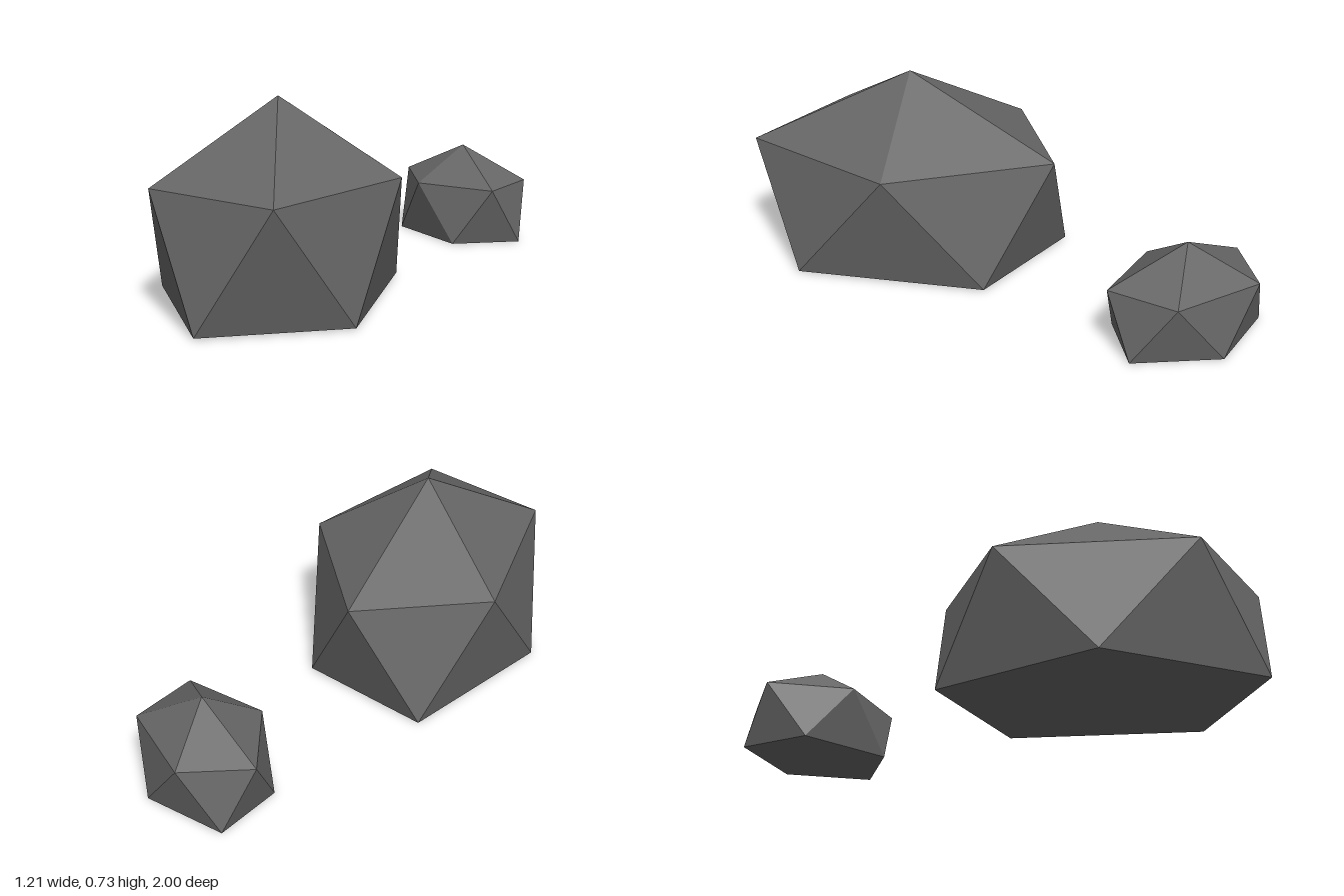
import * as THREE from 'three';

// Icosahedral boulder cut flat at its lower ring.
// axisA and axisB are the [x, z] half-axes of the rings, so they can stretch or shear the plan.
function makeRock(name, [cx, cz], [baseY, ringY, topY], axisA, axisB, material) {
  const at = (step, y) => {
    const a = (step * Math.PI * 2) / 5, c = Math.cos(a), s = Math.sin(a);
    return [cx + axisA[0] * c + axisB[0] * s, y, cz + axisA[1] * c + axisB[1] * s];
  };
  const upper = (k) => at(k, ringY);
  const lower = (k) => at(k + 0.5, baseY);
  const apex = [cx, topY, cz];
  const points = [];
  const face = (a, b, c) => points.push(...a, ...b, ...c);

  for (let k = 0; k < 5; k++) {
    face(apex, upper(k + 1), upper(k));               // crown
    face(upper(k), upper(k + 1), lower(k));           // sides pointing down
    face(upper(k + 1), lower(k + 1), lower(k));       // sides pointing up
    face([cx, baseY, cz], lower(k), lower(k + 1));    // flat base
  }

  const geometry = new THREE.BufferGeometry();
  geometry.setAttribute('position', new THREE.Float32BufferAttribute(points, 3));
  geometry.computeVertexNormals();
  const mesh = new THREE.Mesh(geometry, material);
  mesh.name = name;
  return mesh;
}

export function createModel() {
  const group = new THREE.Group();
  group.name = 'rocks';
  const stone = new THREE.MeshStandardMaterial({ color: 0x666666, flatShading: true });

  group.add(
    makeRock('largeRock', [-0.158, 0.405], [0.006, 0.455, 0.733], [0.449, 0], [0, 0.626], stone),
    makeRock('smallRock', [0.345, -0.738], [0, 0.228, 0.367], [0.26, 0], [0.084, 0.276], stone),
  );
  return group;
}
